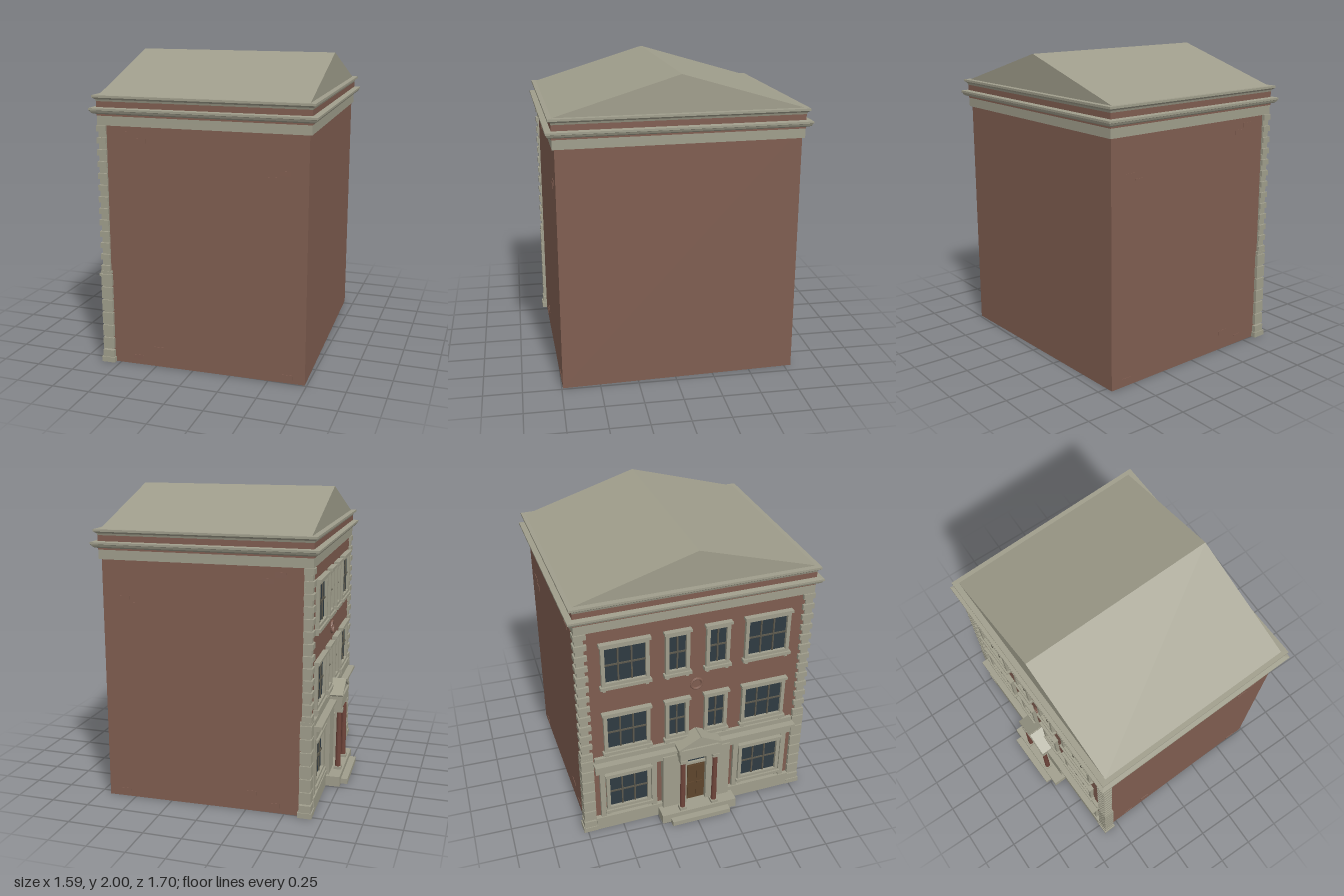
import * as THREE from 'three';

const mat = (color) => new THREE.MeshStandardMaterial({ color, flatShading: true, side: THREE.DoubleSide });
const BRICK = mat(0x7f5d50), STONE = mat(0x9f9d8b), GLASS = mat(0x2f3a42);
const WOOD = mat(0x5e452c), COLUMN = mat(0x6e443a), SASH = mat(0x5b584c);
const HX = 0.665, HZ = 0.77; // half size of the brick body

function add(parent, name, geo, material, x = 0, y = 0, z = 0) {
  const m = new THREE.Mesh(geo, material);
  m.name = name;
  m.position.set(x, y, z);
  parent.add(m);
  return m;
}

// Box given by its limits on each axis
function box(parent, name, material, x0, x1, y0, y1, z0, z1) {
  return add(parent, name, new THREE.BoxGeometry(x1 - x0, y1 - y0, z1 - z0), material,
    (x0 + x1) / 2, (y0 + y1) / 2, (z0 + z1) / 2);
}

// Moulding: a profile of [offset, y] carried round the four walls
function moulding(profile) {
  const pos = [];
  const corner = ([o, y], k) => {
    const sx = [1, 1, -1, -1][k % 4], sz = [1, -1, -1, 1][k % 4];
    return [sx * (HX + o), y, sz * (HZ + o)];
  };
  for (let i = 0; i < profile.length - 1; i++) {
    for (let k = 0; k < 4; k++) {
      const a = corner(profile[i], k), b = corner(profile[i], k + 1);
      const c = corner(profile[i + 1], k + 1), d = corner(profile[i + 1], k);
      pos.push(...a, ...b, ...c, ...a, ...c, ...d);
    }
  }
  const g = new THREE.BufferGeometry();
  g.setAttribute('position', new THREE.Float32BufferAttribute(pos, 3));
  g.computeVertexNormals();
  return g;
}

// Triangular prism along z, from z = 0 to depth
function gable(half, y0, y1, depth) {
  const s = new THREE.Shape([new THREE.Vector2(-half, y0), new THREE.Vector2(half, y0), new THREE.Vector2(0, y1)]);
  return new THREE.ExtrudeGeometry(s, { depth, bevelEnabled: false });
}

// Framed sash window with sill and head
function makeWindow(u, y0, y1, w, columns) {
  const g = new THREE.Group();
  g.name = 'window';
  const h = w / 2, t = 0.024;
  const rect = (a, b, c, d) => [[a, c], [b, c], [b, d], [a, d]].map((p) => new THREE.Vector2(...p));
  const shape = new THREE.Shape(rect(-h, h, y0, y1));
  shape.holes.push(new THREE.Path(rect(-h + t, h - t, y0 + t, y1 - t).reverse()));
  add(g, 'windowFrame', new THREE.ExtrudeGeometry(shape, { depth: 0.024, bevelEnabled: false }), STONE);
  box(g, 'glass', GLASS, -h + t, h - t, y0 + t, y1 - t, 0, 0.004);
  for (let i = 1; i < columns; i++) {
    const x = -h + t + (w - 2 * t) * i / columns;
    box(g, 'mullion', SASH, x - 0.005, x + 0.005, y0 + t, y1 - t, 0, 0.012);
  }
  const ym = (y0 + y1) / 2;
  box(g, 'transom', SASH, -h + t, h - t, ym - 0.005, ym + 0.005, 0, 0.012);
  box(g, 'sill', STONE, -h - 0.012, h + 0.012, y0 - 0.018, y0 + 0.004, 0, 0.036);
  box(g, 'windowHead', STONE, -h - 0.01, h + 0.01, y1 - 0.004, y1 + 0.014, 0, 0.036);
  for (const s of [-1, 1]) box(g, 'sillBracket', STONE, s * (h - 0.015) - 0.01, s * (h - 0.015) + 0.01, y0 - 0.038, y0 - 0.018, 0, 0.022);
  g.position.x = u;
  return g;
}

// Corner blocks up one edge of the facade; side is -1 or 1 along z
function makeQuoins(side) {
  const g = new THREE.Group();
  g.name = 'quoins';
  const block = (y0, y1, out, alongX, alongZ) => {
    const z = [side * (HZ + out), side * (HZ - alongZ)].sort((a, b) => a - b);
    box(g, 'quoin', STONE, -HX - out, -HX + alongX, y0, y1, z[0], z[1]);
  };
  block(0, 0.035, 0.032, 0.06, 0.068);
  block(0.035, 0.082, 0.025, 0.053, 0.06);
  for (let i = 0; i < 6; i++) {
    const y = 0.092 + i * 0.0875;
    block(y, y + 0.076, 0.022, 0.052, 0.06);
    block(y + 0.076, y + 0.0875, 0.012, 0.045, 0.052);
  }
  block(0.615, 0.63, 0.022, 0.052, 0.06);
  for (let i = 0; i < 25; i++) {
    const y = 0.63 + i * 0.038, long = i % 2 === 0;
    block(y, y + 0.036, long ? 0.02 : 0.01, 0.042, long ? 0.06 : 0.042);
  }
  return g;
}

// Door, columns, pediment and steps
function makePortico() {
  const g = new THREE.Group();
  g.name = 'portico';
  box(g, 'lowerStep', STONE, -0.21, 0.21, 0, 0.035, 0, 0.169);
  box(g, 'platform', STONE, -0.27, 0.27, 0, 0.07, 0, 0.124);
  for (const s of [-1, 1]) {
    const a = s > 0 ? 0.07 : -0.24;
    box(g, 'doorPier', STONE, a, a + 0.17, 0.07, 0.52, 0, 0.045);
    const u = s * 0.115;
    box(g, 'columnBase', STONE, u - 0.025, u + 0.025, 0.07, 0.09, 0.062, 0.112);
    add(g, 'column', new THREE.CylinderGeometry(0.016, 0.019, 0.4, 12), COLUMN, u, 0.29, 0.087);
    box(g, 'capital', STONE, u - 0.024, u + 0.024, 0.485, 0.51, 0.063, 0.111);
  }
  box(g, 'door', WOOD, -0.07, 0.07, 0.07, 0.4, 0, 0.014);
  for (const s of [-1, 1]) {
    for (const y of [0.1, 0.25]) box(g, 'doorPanel', WOOD, s * 0.032 - 0.022, s * 0.032 + 0.022, y, y + 0.12, 0.01, 0.02);
  }
  box(g, 'fanlight', GLASS, -0.07, 0.07, 0.41, 0.5, 0, 0.012);
  box(g, 'doorTransom', STONE, -0.07, 0.07, 0.395, 0.412, 0, 0.03);
  box(g, 'entablature', STONE, -0.14, 0.14, 0.51, 0.575, 0, 0.106);
  box(g, 'porticoCornice', STONE, -0.15, 0.15, 0.575, 0.6, 0, 0.113);
  add(g, 'pediment', gable(0.14, 0.6, 0.675, 0.1), STONE);
  // Raking edges of the pediment
  for (const s of [-1, 1]) {
    const rake = add(g, 'rakingCornice', new THREE.BoxGeometry(0.168, 0.016, 0.113), STONE, s * 0.075, 0.642, 0.0565);
    rake.rotation.z = -s * Math.atan2(0.076, 0.15);
  }
  return g;
}

export function createModel() {
  const model = new THREE.Group();
  model.name = 'townHouse';
  const house = new THREE.Group();
  house.name = 'house';
  house.position.set(0.044, 0, -0.002);
  house.rotation.y = 0.0375;
  model.add(house);

  // Brick body, frieze and cornices
  box(house, 'brickWalls', BRICK, -HX, HX, 0, 1.65, -HZ, HZ);
  box(house, 'attic', BRICK, -HX - 0.016, HX + 0.016, 1.64, 1.767, -HZ - 0.016, HZ + 0.016);
  add(house, 'mainCornice', moulding([[0, 1.58], [0.014, 1.58], [0.014, 1.65], [0.03, 1.654], [0.043, 1.662],
    [0.049, 1.675], [0.053, 1.677], [0.053, 1.69], [0.01, 1.694]]), STONE);
  add(house, 'upperCornice', moulding([[0.016, 1.73], [0.02, 1.742], [0.03, 1.75], [0.037, 1.754],
    [0.037, 1.768], [-0.12, 1.768]]), STONE);

  // Gabled roof with the ridge running front to back of the facade
  const roof = add(house, 'roof', gable(0.778, 1.768, 2, 1.33), STONE, -0.665, 0, 0);
  roof.rotation.y = Math.PI / 2;

  // Corner blocks
  for (const side of [-1, 1]) house.add(makeQuoins(side));

  // Slightly raised bricks on the plain walls
  for (const s of [-1, 1]) {
    for (const [u, y] of [[-0.48, 1.53], [-0.4, 1.49], [0.45, 1.3], [0.52, 1.34], [-0.3, 0.12], [-0.45, 0.05], [0.55, 0.04]]) {
      box(house, 'raisedBrick', BRICK, u - 0.035, u + 0.035, y - 0.015, y + 0.015, s * HZ - 0.003, s * HZ + 0.003);
    }
  }

  // Street facade: x runs along the wall, z points out of it
  const facade = new THREE.Group();
  facade.name = 'facade';
  facade.position.x = -HX;
  facade.rotation.y = -Math.PI / 2;
  house.add(facade);
  for (const s of [-1, 1]) {
    for (const [y0, y1] of [[0.655, 0.955], [1.175, 1.475]]) {
      facade.add(makeWindow(s * 0.475, y0, y1, 0.31, 3));
      facade.add(makeWindow(s * 0.135, y0, y1, 0.16, 2));
    }
    facade.add(makeWindow(s * 0.475, 0.15, 0.45, 0.31, 3));
    // Ground floor plinth and window surround
    const a = s > 0 ? 0.24 : -0.71;
    box(facade, 'plinth', STONE, a, a + 0.47, 0, 0.1, 0, 0.03);
    for (const e of [-1, 1]) {
      const u = s * 0.475 + e * 0.18;
      box(facade, 'pilaster', STONE, u - 0.018, u + 0.018, 0.1, 0.5, 0, 0.022);
    }
  }
  // String course above the ground floor
  box(facade, 'stringFrieze', STONE, -0.7, 0.7, 0.49, 0.545, 0, 0.035);
  box(facade, 'stringCornice', STONE, -0.705, 0.705, 0.545, 0.56, 0, 0.055);
  box(facade, 'stringCap', STONE, -0.71, 0.71, 0.56, 0.58, 0, 0.072);
  box(facade, 'stringBlocking', STONE, -0.7, 0.7, 0.58, 0.615, 0, 0.025);
  facade.add(makePortico());
  add(facade, 'roundel', new THREE.TorusGeometry(0.038, 0.009, 8, 20), BRICK, 0, 1.05, 0.005);

  return model;
}
